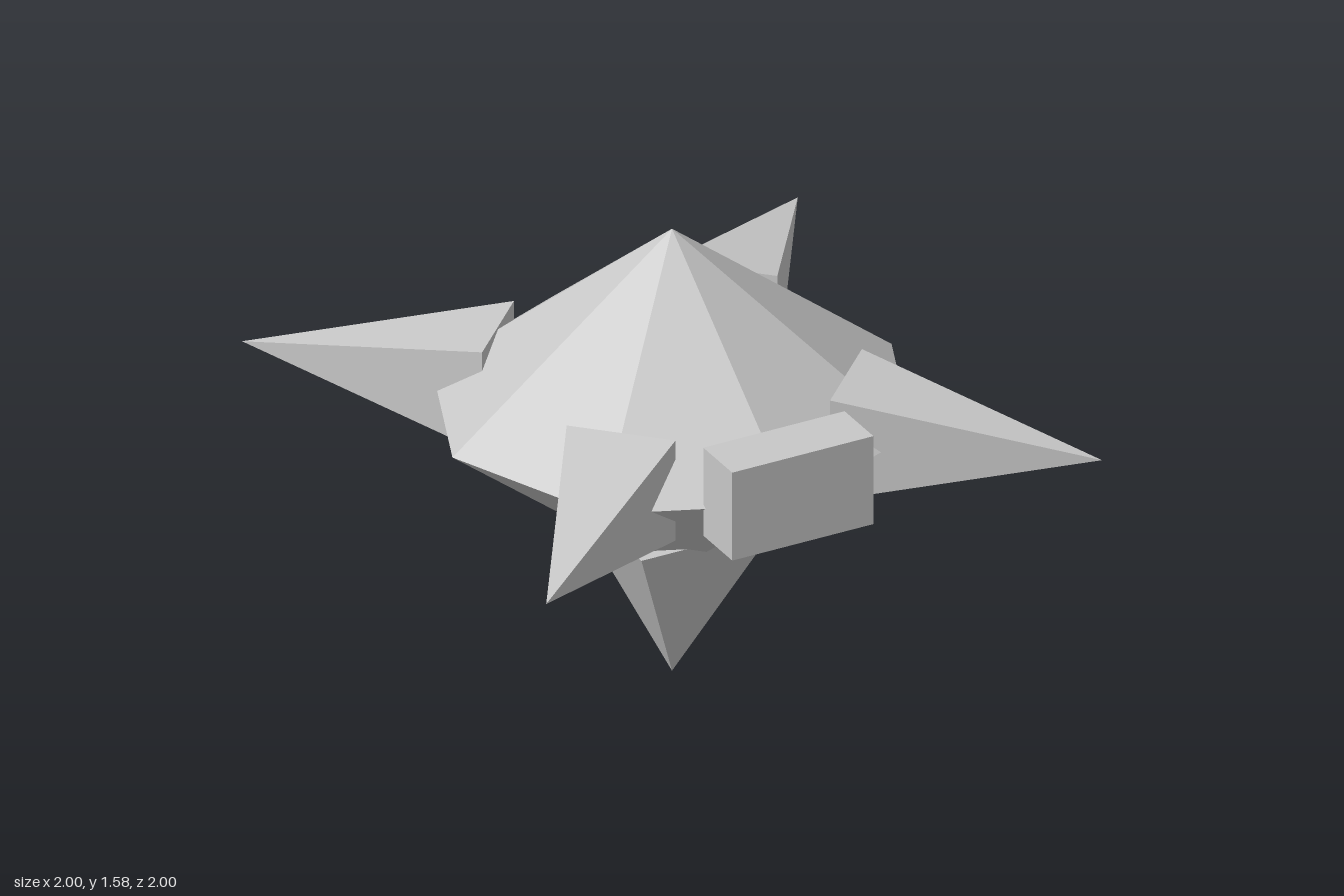
import * as THREE from 'three';

export function createModel() {
  const group = new THREE.Group();
  const grey = new THREE.MeshStandardMaterial({ color: 0xc8c8c8, flatShading: true });
  grey.name = 'plain grey';

  const add = (name, geometry) => {
    const mesh = new THREE.Mesh(geometry, grey);
    mesh.name = name;
    group.add(mesh);
    return mesh;
  };

  // Four-sided spike, centred on its length, tip towards +y, flat sides on the axes
  const spike = (halfWidth, length) =>
    new THREE.ConeGeometry(halfWidth * Math.SQRT2, length, 4).rotateY(Math.PI / 4);

  // Eight-sided double pyramid
  const midY = 0.967;
  const profile = [[0, 0.357], [0.79, midY], [0, 1.583]].map(([x, y]) => new THREE.Vector2(x, y));
  add('body', new THREE.LatheGeometry(profile, 8));

  // Horizontal spikes on the diagonals
  const inner = 0.572, tip = Math.SQRT2;
  ['frontLeftSpike', 'backLeftSpike', 'backRightSpike', 'frontRightSpike'].forEach((name, i) => {
    const geometry = spike(0.179, tip - inner)
      .rotateX(Math.PI / 2)
      .translate(0, midY, (inner + tip) / 2)
      .rotateY(Math.PI / 4 + i * Math.PI / 2);
    add(name, geometry);
  });

  // Spike pointing down
  add('bottomSpike', spike(0.243, 0.57).rotateX(Math.PI).translate(0, 0.285, 0));

  // Block on the front
  add('frontBlock', new THREE.BoxGeometry(0.508, 0.315, 0.19).translate(0, 1.022, 0.765));

  return group;
}
